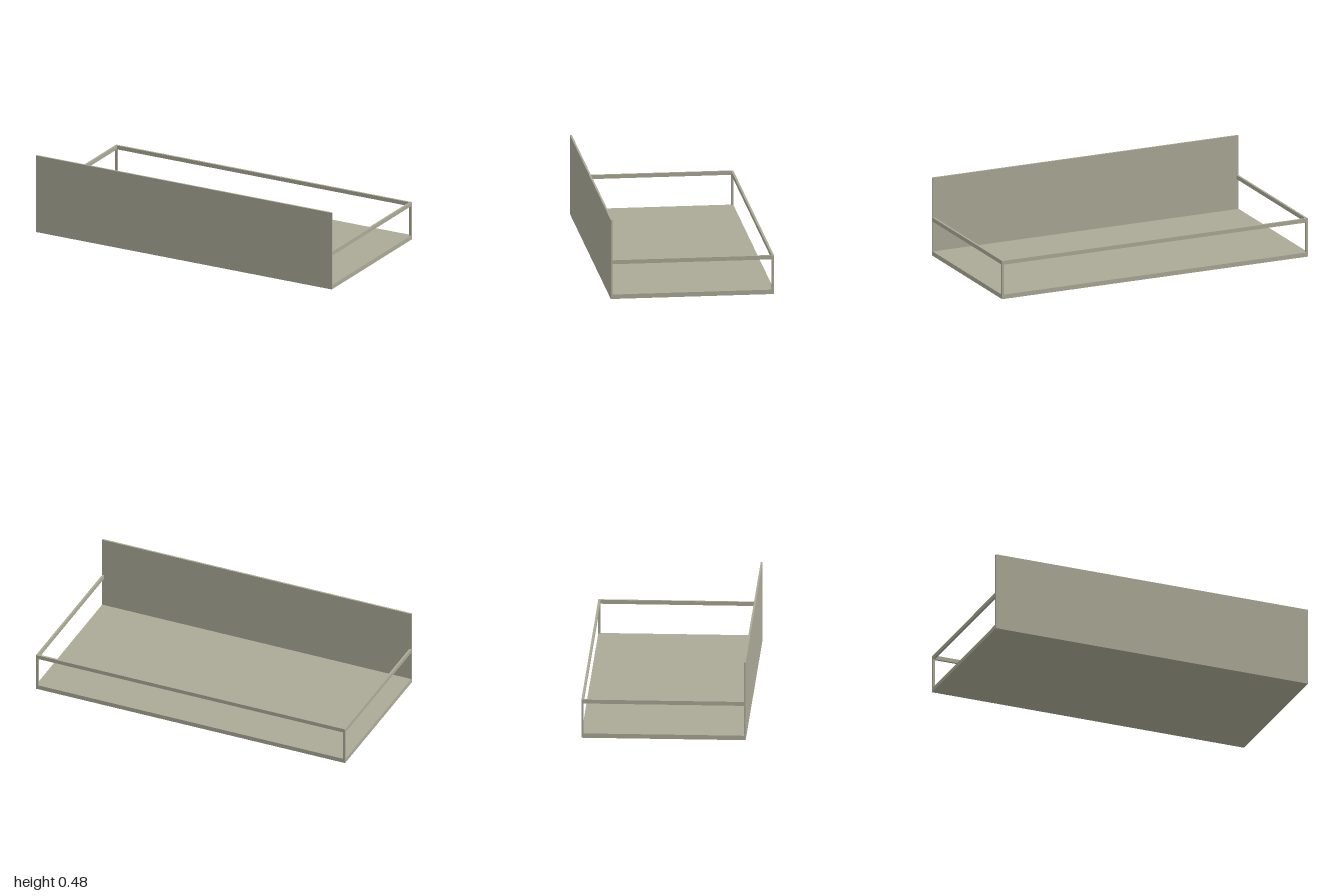
import * as THREE from 'three';

export function createModel() {
  const model = new THREE.Group();
  const khaki = new THREE.MeshStandardMaterial({ color: 0xaba996 });
  khaki.name = 'khaki grey';

  // Box given by its minimum and maximum corners
  function slab(name, [x0, y0, z0], [x1, y1, z1]) {
    const geometry = new THREE.BoxGeometry(x1 - x0, y1 - y0, z1 - z0);
    const mesh = new THREE.Mesh(geometry, khaki);
    mesh.position.set((x0 + x1) / 2, (y0 + y1) / 2, (z0 + z1) / 2);
    mesh.name = name;
    model.add(mesh);
  }

  const W = 1, D = 0.486, H = 0.482; // half width, half depth, panel height
  const bar = 0.013;                 // thickness of posts and rails
  const floorTop = 0.027, railLow = 0.212, railTop = 0.236;
  const panelBack = D - 0.011;

  // Tray floor and tall front panel
  slab('floor', [-W, 0, -D], [W, floorTop, panelBack]);
  slab('frontPanel', [-W, 0, panelBack], [W, H, D]);

  // Rail along the back
  slab('backRail', [-W, railLow, -D], [W, railTop, -D + bar]);

  // Side rails and back corner posts, mirrored
  for (const [side, x] of [['left', W - bar], ['right', -W]]) {
    slab(side + 'Rail', [x, railLow, -D + bar], [x + bar, railTop, panelBack]);
    slab(side + 'BackPost', [x, floorTop, -D], [x + bar, railLow, -D + bar]);
  }

  return model;
}
